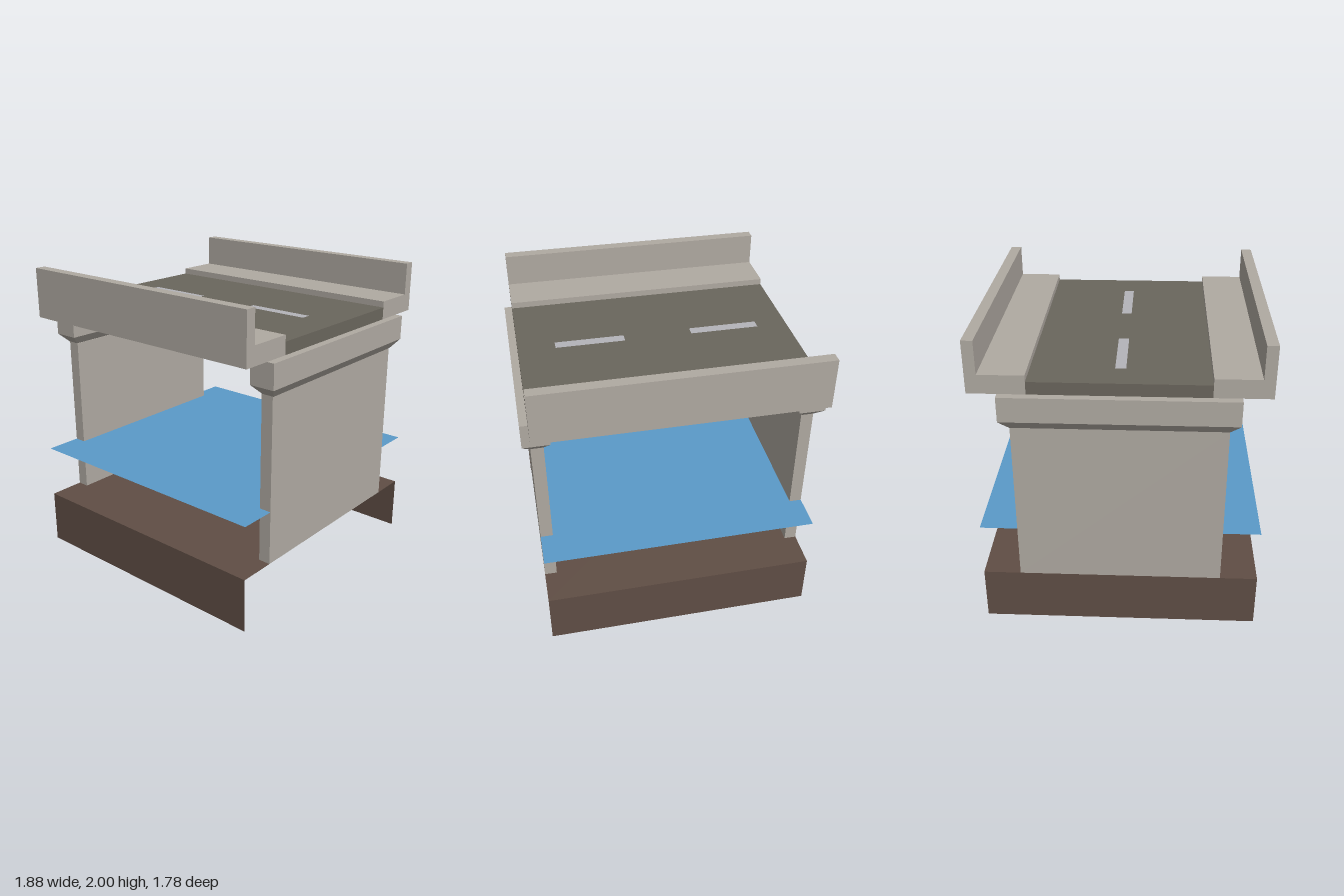
import * as THREE from 'three';

const mat = (color, side = THREE.FrontSide) => new THREE.MeshStandardMaterial({ color, side });

export function createModel() {
  const group = new THREE.Group();
  const concrete = mat(0xb0aaa2);
  const asphalt = mat(0x6a665d);
  const paint = mat(0xb4b4b9);
  const earth = mat(0x604e45, THREE.DoubleSide);
  const water = mat(0x5a9ac8, THREE.DoubleSide);

  const add = (name, geometry, material) => {
    const mesh = new THREE.Mesh(geometry, material);
    mesh.name = name;
    group.add(mesh);
    return mesh;
  };

  // Box given by its extents along each axis
  const block = (x0, x1, y0, y1, z0, z1) =>
    new THREE.BoxGeometry(x1 - x0, y1 - y0, z1 - z0)
      .translate((x0 + x1) / 2, (y0 + y1) / 2, (z0 + z1) / 2);

  // Horizontal sheet
  const sheet = (x0, x1, y, z0, z1) =>
    new THREE.PlaneGeometry(x1 - x0, z1 - z0).rotateX(-Math.PI / 2)
      .translate((x0 + x1) / 2, y, (z0 + z1) / 2);

  // River bed: a hollow block, open on its left (+x) side and underneath
  const bed = block(-0.89, 0.89, 0, 0.36, -0.89, 0.89);
  const index = Array.from(bed.index.array);
  bed.setIndex([1, 2, 4, 5].flatMap((f) => index.slice(f * 6, f * 6 + 6)));
  bed.clearGroups();
  add('riverBed', bed, earth);

  add('waterSurface', sheet(-0.89, 0.89, 0.715, -0.89, 0.89), water);

  // Abutments: wall, flared collar and bearing cap at each end
  for (const [side, s] of [['left', 1], ['right', -1]]) {
    const cx = 0.85 * s;
    add(side + 'AbutmentWall', block(cx - 0.04, cx + 0.04, 0.36, 1.45, -0.65, 0.65), concrete);

    const flare = new THREE.BoxGeometry(0.17, 0.06, 1.42).toNonIndexed();
    const p = flare.attributes.position;
    for (let i = 0; i < p.count; i++) {
      if (p.getY(i) < 0) {
        p.setX(i, Math.sign(p.getX(i)) * 0.04);
        p.setZ(i, Math.sign(p.getZ(i)) * 0.65);
      }
    }
    flare.computeVertexNormals();
    add(side + 'AbutmentFlare', flare.translate(0.855 * s, 1.48, 0), concrete);

    add(side + 'BearingCap',
      new THREE.BoxGeometry(0.17, 0.16, 1.42).translate(0.855 * s, 1.59, 0), concrete);
  }

  // Deck slab between the caps, with the road on top
  add('deckSlab', block(-0.77, 0.77, 1.57, 1.67, -0.54, 0.54), concrete);
  add('roadSurface', block(-0.89, 0.89, 1.67, 1.75, -0.54, 0.54), asphalt);
  for (const x of [-0.69, 0.2]) {
    add('laneMarking', sheet(x, x + 0.45, 1.752, -0.033, 0.033), paint);
  }

  // Sidewalks and parapets along the front and back edges
  for (const [edge, s] of [['front', 1], ['back', -1]]) {
    add(edge + 'Sidewalk',
      new THREE.BoxGeometry(1.78, 0.12, 0.35).translate(0, 1.73, 0.715 * s), concrete);
    add(edge + 'Parapet',
      new THREE.BoxGeometry(1.78, 0.21, 0.07).translate(0, 1.895, 0.855 * s), concrete);
  }

  return group;
}
